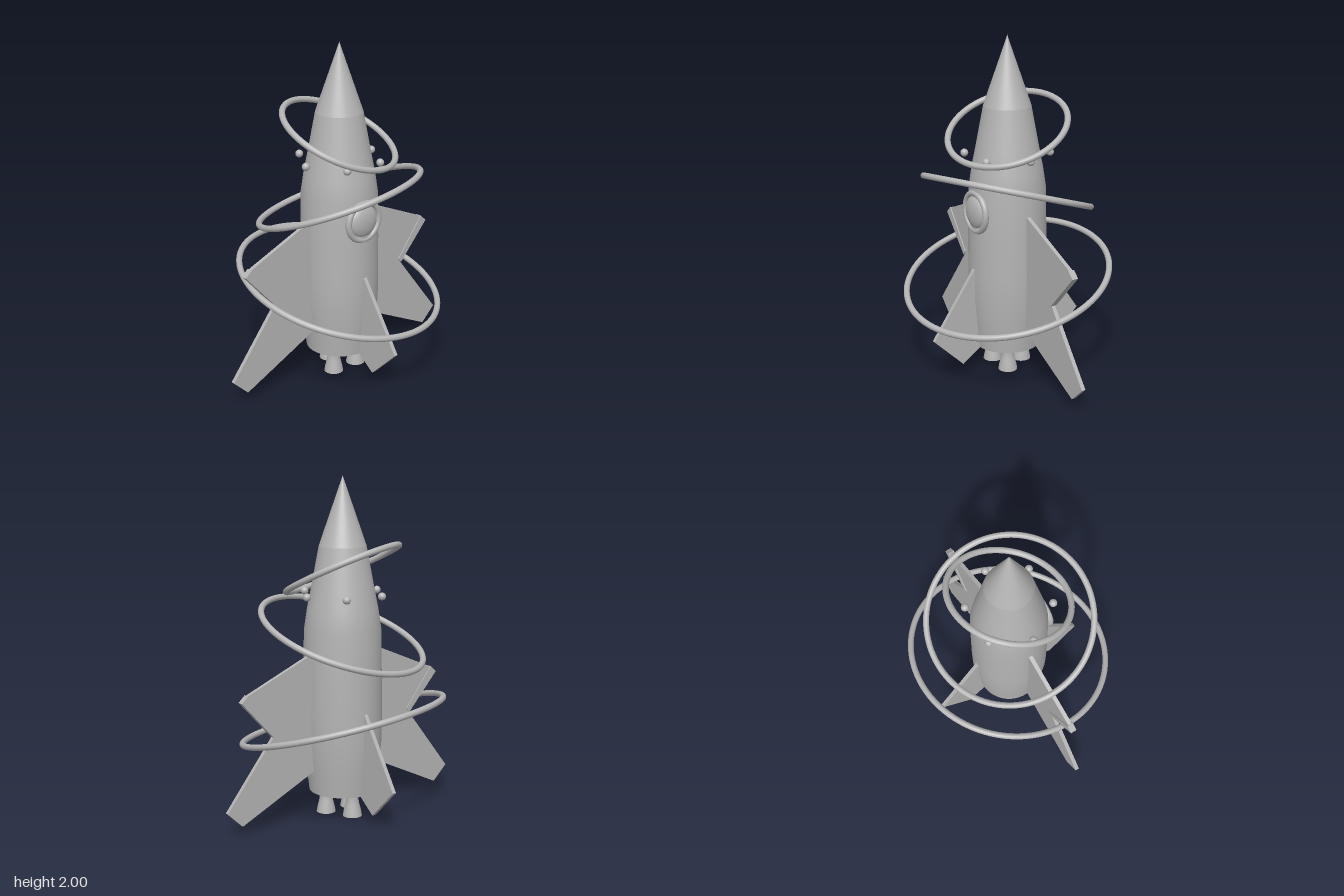
import * as THREE from 'three';

const hull = new THREE.MeshStandardMaterial({ color: 0xb4b4b4 });
hull.name = 'hull grey';

const lathe = (points, segments = 64) =>
  new THREE.LatheGeometry(points.map(([r, y]) => new THREE.Vector2(r, y)), segments);

// Flat plate cut from an outline in the x-y plane, centred on z = 0
function plate(points, thickness) {
  const shape = new THREE.Shape(points.map(([x, y]) => new THREE.Vector2(x, y)));
  return new THREE.ExtrudeGeometry(shape, { depth: thickness, bevelEnabled: false })
    .translate(0, 0, -thickness / 2);
}

export function createModel() {
  const model = new THREE.Group();
  model.name = 'rocket';
  const add = (name, geometry, x = 0, y = 0, z = 0) => {
    const mesh = new THREE.Mesh(geometry, hull);
    mesh.name = name;
    mesh.position.set(x, y, z);
    model.add(mesh);
    return mesh;
  };

  // Fuselage, base plate and nose cone
  add('fuselage', lathe([
    [0.2, 0.145], [0.214, 0.28], [0.231, 0.45], [0.232, 0.6], [0.23, 0.85],
    [0.225, 1.12], [0.207, 1.24], [0.185, 1.35], [0.138, 1.6]]));
  add('basePlate', new THREE.CircleGeometry(0.2, 64).rotateX(Math.PI / 2), 0, 0.145, 0);
  add('noseCone', new THREE.ConeGeometry(0.138, 0.4, 64, 1, true), 0, 1.8, 0);

  // Porthole
  add('portholeFrame', new THREE.TorusGeometry(0.113, 0.018, 16, 48), 0, 0.995, 0.215);
  add('portholeGlass', new THREE.SphereGeometry(0.097, 32, 20), 0, 0.995, 0.213).scale.z = 0.38;

  // Three engine bells, flared and hollow below
  const bell = lathe([[0.057, 0], [0.052, 0.03], [0.041, 0.075], [0.035, 0.11], [0.036, 0.15]], 32);
  const bellInside = lathe([[0, 0.07], [0.03, 0.07], [0.043, 0.03], [0.057, 0]], 32);
  for (let i = 0; i < 3; i++) {
    const a = Math.PI + i * Math.PI * 2 / 3;
    const x = 0.1 * Math.sin(a), z = 0.1 * Math.cos(a);
    add('engineBell', bell, x, 0, z);
    add('engineBellInside', bellInside, x, 0, z);
  }

  // Swept side wings with thicker tip rails
  const wing = [[0.18, 1.01], [0.655, 0.805], [0.47, 0.565], [0.795, 0.145], [0.7, 0.052], [0.18, 0.305]];
  const rail = [[0.655, 0.808], [0.695, 0.77], [0.49, 0.54], [0.47, 0.565]];
  for (const side of [1, -1]) {
    const mirror = (points) => points.map(([x, y]) => [x * side, y]);
    add(side > 0 ? 'leftWing' : 'rightWing', plate(mirror(wing), 0.024));
    add(side > 0 ? 'leftWingRail' : 'rightWingRail', plate(mirror(rail), 0.038));
  }

  // Front and back fins
  const fin = [[0.19, 0.72], [0.23, 0.65], [0.505, 0.25], [0.315, 0.063], [0.19, 0.15]];
  for (const side of [1, -1]) {
    add(side > 0 ? 'frontFin' : 'backFin', plate(fin, 0.024)).rotation.y = -side * Math.PI / 2;
  }

  // Tilted orbit rings: radius, height, tilt about x, tilt about z
  for (const [radius, y, tiltX, tiltZ] of [
    [0.352, 1.467, 0.4, -0.2], [0.494, 1.087, -0.32, 0.15], [0.609, 0.568, 0.25, -0.11]]) {
    add('orbitRing', new THREE.TorusGeometry(radius, 0.018, 14, 96).rotateX(Math.PI / 2), 0, y, 0)
      .rotation.set(tiltX, 0, tiltZ);
  }

  // Six small floating spheres
  const bead = new THREE.SphereGeometry(0.023, 20, 14);
  for (let i = 0; i < 6; i++) {
    const a = i * Math.PI / 3;
    add('floatingSphere', bead, 0.247 * Math.cos(a), 1.322, 0.247 * Math.sin(a));
  }

  return model;
}
